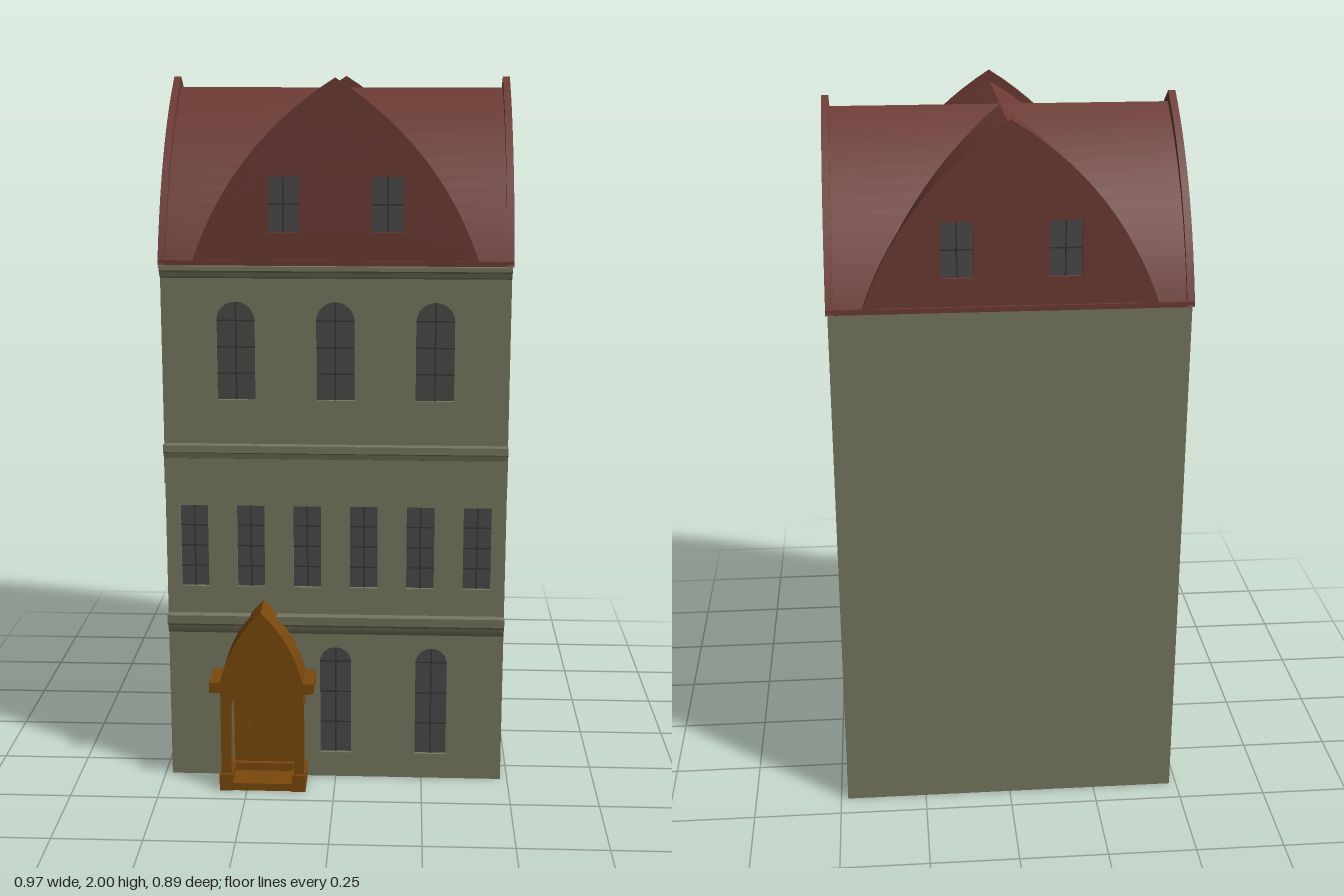
import * as THREE from 'three';
import { toCreasedNormals } from 'three/addons/utils/BufferGeometryUtils.js';

const mat = (color) => new THREE.MeshStandardMaterial({ color, roughness: 0.9 });
const stone = mat(0x77775f), tile = mat(0x6c3a33), wood = mat(0x7a480c);
const glass = mat(0x4b4848), lead = mat(0x353333);

const CZ = -0.045;   // centre of the house in z
const FRONT = 0.34;  // front wall plane
const INSET = 0.014; // depth of the window reveals

function add(parent, name, geo, material, x = 0, y = 0, z = 0) {
  const m = new THREE.Mesh(geo, material);
  m.name = name;
  m.position.set(x, y, z);
  parent.add(m);
  return m;
}

// box given by its extents
function box(parent, name, material, x0, x1, y0, y1, z0, z1) {
  return add(parent, name, new THREE.BoxGeometry(x1 - x0, y1 - y0, z1 - z0), material,
    (x0 + x1) / 2, (y0 + y1) / 2, (z0 + z1) / 2);
}

function extrude(shape, depth) {
  const geo = new THREE.ExtrudeGeometry(shape, { depth, bevelEnabled: false, curveSegments: 14 });
  return toCreasedNormals(geo, 0.45);
}

// window outline, w is the half width
function windowOutline(p, { x, y0, y1, w, arched }) {
  p.moveTo(x - w, y0);
  p.lineTo(x + w, y0);
  if (arched) {
    p.lineTo(x + w, y1 - w);
    p.absarc(x, y1 - w, w, 0, Math.PI, false);
  } else {
    p.lineTo(x + w, y1);
    p.lineTo(x - w, y1);
  }
  p.closePath();
  return p;
}

// pane with glazing bars, z is the bottom of the reveal
function glaze(parent, win, z, rows) {
  const g = new THREE.Group();
  g.name = 'window';
  parent.add(g);
  const { x, y0, y1, w, arched } = win;
  add(g, 'pane', extrude(windowOutline(new THREE.Shape(), win), 0.004), glass, 0, 0, z);
  box(g, 'mullion', lead, x - 0.002, x + 0.002, y0, y1, z, z + 0.008);
  const top = arched ? y1 - w : y1;
  for (let i = 1; i <= rows; i++) {
    const y = y0 + (top - y0) * i / (arched ? rows : rows + 1);
    box(g, 'glazingBar', lead, x - w, x + w, y - 0.002, y + 0.002, z, z + 0.007);
  }
}

// pointed gable curve from the left foot to the right foot
function gableCurve(p, w, h) {
  p.moveTo(-w, 0);
  p.quadraticCurveTo(-w * 0.73, h * 0.64, 0, h);
  p.quadraticCurveTo(w * 0.73, h * 0.64, w, 0);
  return p;
}

function buildWalls(root) {
  const g = new THREE.Group();
  g.name = 'walls';
  root.add(g);
  box(g, 'body', stone, -0.48, 0.48, 0, 1.5, -0.43, FRONT - INSET);

  const windows = [];
  for (const x of [-0.275, 0, 0.275]) windows.push({ x, y0: 1.125, y1: 1.4, w: 0.053, arched: true });
  for (let i = 0; i < 6; i++) windows.push({ x: -0.4 + i * 0.16, y0: 0.58, y1: 0.82, w: 0.039 });
  for (const x of [0, 0.275]) windows.push({ x, y0: 0.075, y1: 0.4, w: 0.045, arched: true });

  const facade = new THREE.Shape([[-0.48, 0], [0.48, 0], [0.48, 1.5], [-0.48, 1.5]]
    .map(([x, y]) => new THREE.Vector2(x, y)));
  for (const w of windows) {
    facade.holes.push(windowOutline(new THREE.Path(), w));
    glaze(g, w, FRONT - INSET, 3);
  }
  add(g, 'facade', extrude(facade, INSET), stone, 0, 0, FRONT - INSET);
}

function buildCornices(root) {
  // moulding profiles as [projection, height]
  const profiles = {
    lowerCornice: [[0, 0.44], [0.008, 0.45], [0.012, 0.465], [0.026, 0.475], [0.028, 0.5], [0, 0.5]],
    middleCornice: [[0, 0.955], [0.014, 0.96], [0.018, 0.975], [0.028, 0.98], [0.028, 1], [0, 1]],
    topCornice: [[0, 1.465], [0.01, 1.47], [0.014, 1.482], [0.025, 1.488], [0.025, 1.5], [0, 1.5]],
  };
  for (const [name, pts] of Object.entries(profiles)) {
    const shape = new THREE.Shape(pts.map(([d, y]) => new THREE.Vector2(-d, y)));
    const m = add(root, name, extrude(shape, 0.96), stone, -0.48, 0, FRONT);
    m.rotation.y = Math.PI / 2;
  }
  // scalloped frieze under the middle cornice
  const frieze = new THREE.Shape();
  frieze.moveTo(-0.48, 0.96);
  frieze.lineTo(-0.48, 0.885);
  for (let i = 0; i < 6; i++) {
    const x = -0.48 + i * 0.16;
    frieze.bezierCurveTo(x + 0.04, 0.95, x + 0.12, 0.95, x + 0.16, 0.885);
  }
  frieze.lineTo(0.48, 0.96);
  add(root, 'archedFrieze', extrude(frieze, 0.012), stone, 0, 0, FRONT);
}

function buildRoof(root) {
  const W = 0.385, H = 0.47;
  const roof = new THREE.Group();
  roof.name = 'roof';
  roof.position.set(0, 1.5, CZ);
  root.add(roof);
  box(roof, 'eaves', tile, -0.485, 0.485, 0, 0.014, -0.392, 0.392);

  // two crossed vaults, each closed by a gable at both ends
  for (let k = 0; k < 4; k++) {
    const d = k % 2 ? 0.477 : 0.385;
    const g = new THREE.Group();
    g.name = 'gable';
    g.rotation.y = k * Math.PI / 2;
    roof.add(g);

    const vault = gableCurve(new THREE.Shape(), W, H);
    add(g, 'roofVault', extrude(vault, d - INSET), tile);

    const wall = gableCurve(new THREE.Shape(), W, H);
    for (const x of [-0.142, 0.142]) {
      const win = { x, y0: 0.09, y1: 0.24, w: 0.043 };
      wall.holes.push(windowOutline(new THREE.Path(), win));
      glaze(g, win, d - INSET, 1);
    }
    add(g, 'gableWall', extrude(wall, INSET), tile, 0, 0, d - INSET);

    // raised verge along the gable edge
    const verge = gableCurve(new THREE.Shape(), 0.394, 0.5);
    verge.lineTo(0.366, 0);
    verge.quadraticCurveTo(0.366 * 0.73, 0.45 * 0.64, 0, 0.45);
    verge.quadraticCurveTo(-0.366 * 0.73, 0.45 * 0.64, -0.366, 0);
    add(g, 'verge', extrude(verge, 0.02), tile, 0, 0, d - 0.012);
  }
}

function buildPortal(root) {
  const g = new THREE.Group();
  g.name = 'portal';
  g.position.set(-0.205, 0, FRONT);
  root.add(g);

  // pointed hood over an arched passage
  const hood = new THREE.Shape();
  hood.moveTo(-0.118, 0.24);
  hood.lineTo(-0.118, 0.33);
  hood.quadraticCurveTo(-0.085, 0.46, 0, 0.54);
  hood.quadraticCurveTo(0.085, 0.46, 0.118, 0.33);
  hood.lineTo(0.118, 0.24);
  hood.lineTo(0.09, 0.24);
  hood.bezierCurveTo(0.085, 0.295, 0.045, 0.335, 0, 0.34);
  hood.bezierCurveTo(-0.045, 0.335, -0.085, 0.295, -0.09, 0.24);
  add(g, 'hood', extrude(hood, 0.1), wood);

  // recessed pointed rib on the hood front
  const rib = new THREE.Shape();
  rib.moveTo(-0.118, 0.33);
  rib.quadraticCurveTo(-0.085, 0.46, 0, 0.54);
  rib.quadraticCurveTo(0.085, 0.46, 0.118, 0.33);
  rib.lineTo(0.098, 0.33);
  rib.quadraticCurveTo(0.07, 0.44, 0, 0.505);
  rib.quadraticCurveTo(-0.07, 0.44, -0.098, 0.33);
  add(g, 'hoodRib', extrude(rib, 0.01), wood, 0, 0, 0.1);

  box(g, 'step', wood, -0.122, 0.122, 0, 0.022, 0, 0.105);
  for (const s of [-1, 1]) {
    const part = (name, a, b, y0, y1, z0, z1) =>
      box(g, name, wood, Math.min(s * a, s * b), Math.max(s * a, s * b), y0, y1, z0, z1);
    part('plinth', 0.085, 0.123, 0, 0.05, 0, 0.108);
    part('post', 0.09, 0.118, 0.05, 0.24, 0.062, 0.1);
    part('capital', 0.1, 0.148, 0.3, 0.33, 0, 0.11);
  }

  // door leaf with handle
  const door = new THREE.Shape();
  door.moveTo(-0.09, 0.02);
  door.lineTo(0.09, 0.02);
  door.lineTo(0.09, 0.24);
  door.bezierCurveTo(0.085, 0.295, 0.045, 0.335, 0, 0.34);
  door.bezierCurveTo(-0.045, 0.335, -0.085, 0.295, -0.09, 0.24);
  add(g, 'door', extrude(door, 0.006), wood);
  box(g, 'doorSill', wood, -0.09, 0.09, 0.022, 0.045, 0, 0.02);
  box(g, 'doorHandle', wood, -0.05, -0.042, 0.13, 0.175, 0.006, 0.014);
}

export function createModel() {
  const root = new THREE.Group();
  root.name = 'townHouse';
  buildWalls(root);
  buildCornices(root);
  buildRoof(root);
  buildPortal(root);
  return root;
}
